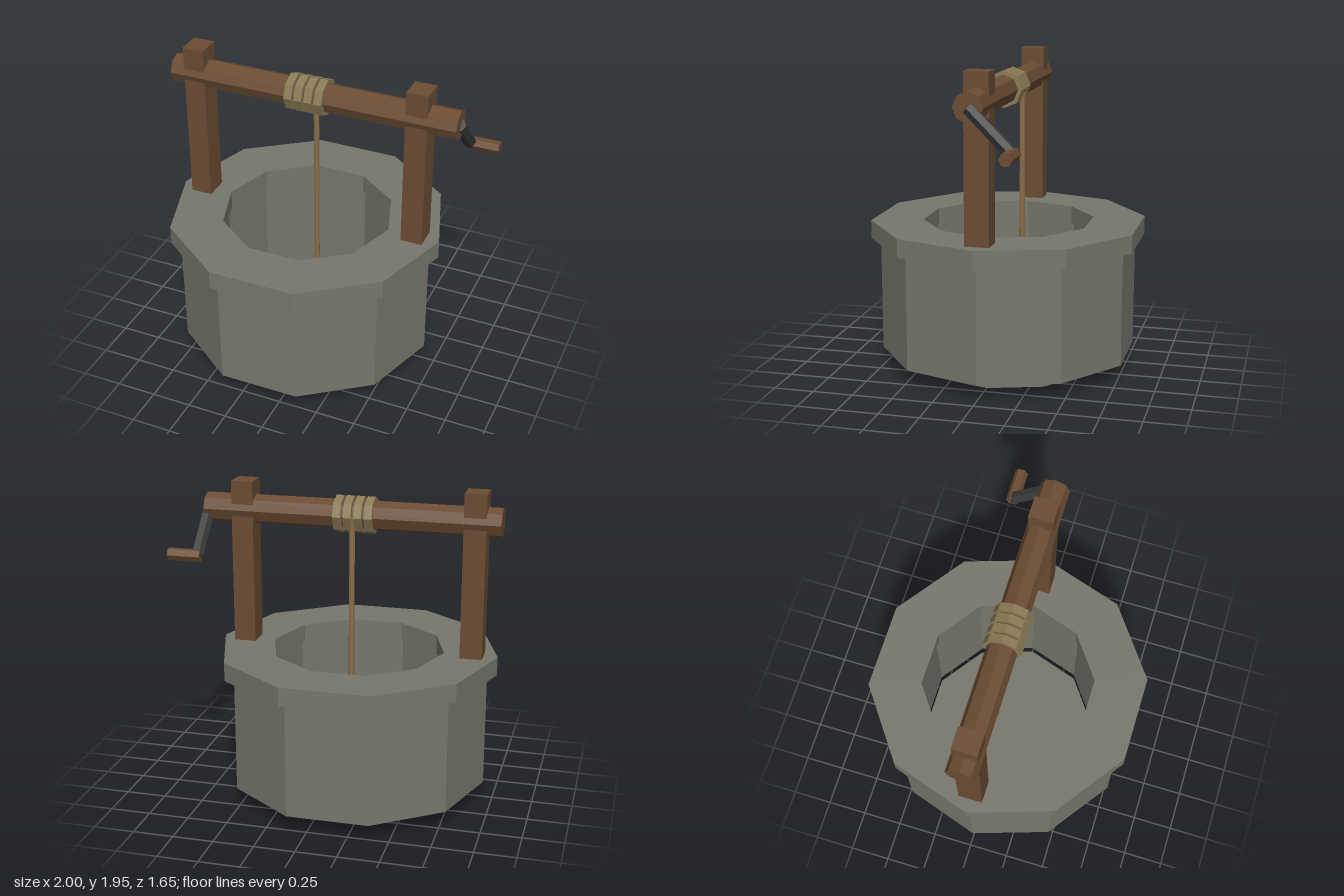
import * as THREE from 'three';

const mat = (name, color) => new THREE.MeshStandardMaterial({ name, color });

export function createModel() {
  const stone = mat('stone', 0x77776d);
  const wood = mat('wood', 0x6b4c33);
  const rope = mat('rope', 0x8a7a55);
  const cord = mat('cord', 0x8a6d48);
  const iron = mat('iron', 0x3a3a3a);

  const model = new THREE.Group();
  model.name = 'well';

  // Adds a faceted mesh to the model
  function add(name, geometry, material, x, y, z) {
    const flat = geometry.index ? geometry.toNonIndexed() : geometry;
    flat.computeVertexNormals();
    const mesh = new THREE.Mesh(flat, material);
    mesh.name = name;
    mesh.position.set(x, y, z);
    model.add(mesh);
    return mesh;
  }

  // Ten-sided ring with corners on the x axis
  function ring(outer, inner, bottom, top) {
    const profile = [[outer, bottom], [outer, top], [inner, top], [inner, bottom], [outer, bottom]];
    return new THREE.LatheGeometry(profile.map(([r, y]) => new THREE.Vector2(r, y)), 10, Math.PI / 2);
  }

  // Prism lying along x
  const bar = (radius, length, sides) =>
    new THREE.CylinderGeometry(radius, radius, length, sides).rotateZ(-Math.PI / 2);

  // Stonework
  const cx = -0.13;
  add('wall', ring(0.81, 0.565, 0.1, 0.82), stone, cx, 0, 0);
  add('rim', ring(0.87, 0.54, 0.82, 0.935), stone, cx, 0, 0);
  add('floor', new THREE.CylinderGeometry(0.57, 0.57, 0.015, 10, 1, false, Math.PI / 2), stone, cx, 0.0075, 0);

  // Posts on either side, with the roller through them
  for (const [name, side] of [['leftPost', 1], ['rightPost', -1]]) {
    add(name, new THREE.BoxGeometry(0.135, 1.04, 0.15), wood, cx + side * 0.715, 1.43, 0);
  }
  add('roller', bar(0.09, 1.83, 8), wood, -0.085, 1.77, 0);

  // Rope turns and the hanging end
  for (let i = 0; i < 4; i++) {
    add('ropeTurn', bar(0.115, 0.049, 8), rope, -0.208 + i * 0.064, 1.77, 0);
  }
  add('hangingRope', new THREE.CylinderGeometry(0.018, 0.018, 1.62, 8), cord, -0.109, 0.96, -0.09);

  // Crank
  const arm = new THREE.CylinderGeometry(0.04, 0.04, 0.36, 6).rotateY(Math.PI / 2).rotateX(Math.PI / 4);
  add('crankArm', arm, iron, 0.82, 1.642, -0.127);
  add('crankHandle', bar(0.04, 0.206, 6), wood, 0.897, 1.517, -0.256);

  return model;
}
